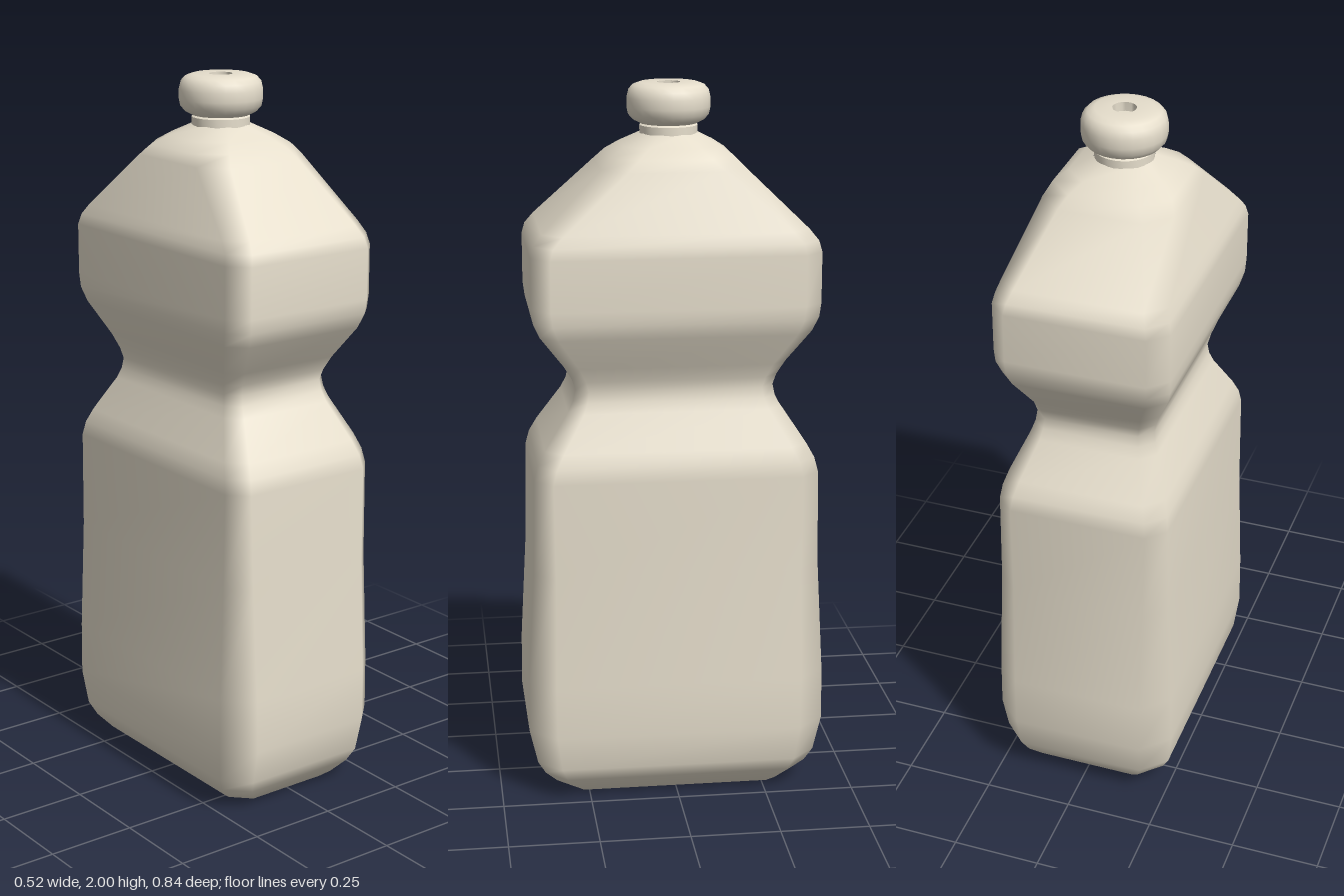
import * as THREE from 'three';
import { toCreasedNormals } from 'three/addons/utils/BufferGeometryUtils.js';

const material = new THREE.MeshStandardMaterial({ color: 0xe6decc });

// Body sections from bottom to top: height, half width, half depth, corner chamfer
const sections = [
  [0.0, 0.17, 0.315, 0.05], [0.02, 0.195, 0.34, 0.055], [0.06, 0.23, 0.375, 0.06], [0.1, 0.25, 0.397, 0.066],
  [0.2, 0.262, 0.42, 0.075], [0.35, 0.26, 0.418, 0.072], [0.67, 0.248, 0.4, 0.058],
  [0.94, 0.244, 0.395, 0.05], [0.98, 0.238, 0.385, 0.05], [1.02, 0.225, 0.363, 0.048],
  [1.12, 0.182, 0.295, 0.04], [1.15, 0.172, 0.28, 0.036], [1.18, 0.168, 0.274, 0.035],
  [1.21, 0.175, 0.283, 0.036], [1.25, 0.19, 0.306, 0.04],
  [1.34, 0.232, 0.372, 0.048], [1.38, 0.243, 0.39, 0.05], [1.42, 0.245, 0.395, 0.05],
  [1.56, 0.245, 0.395, 0.05], [1.59, 0.238, 0.387, 0.05], [1.62, 0.229, 0.363, 0.052],
  [1.78, 0.18, 0.197, 0.065], [1.81, 0.164, 0.167, 0.068], [1.835, 0.13, 0.13, 0.06], [1.865, 0.075, 0.075, 0.044],
];

// Rectangle with chamfered corners, running from +x towards +z
function ring([y, w, d, c]) {
  return [
    [w, d - c], [w - c, d], [c - w, d], [-w, d - c],
    [-w, c - d], [c - w, -d], [w - c, -d], [w, c - d],
  ].map(([x, z]) => [x, y, z]);
}

function bodyGeometry() {
  const positions = sections.flatMap((s) => ring(s).flat());
  const index = [];
  for (let i = 0; i < sections.length - 1; i++) {
    for (let j = 0; j < 8; j++) {
      const a = i * 8 + j;
      const b = i * 8 + ((j + 1) % 8);
      index.push(a, a + 8, b, b, a + 8, b + 8);
    }
  }
  const geometry = new THREE.BufferGeometry();
  geometry.setAttribute('position', new THREE.Float32BufferAttribute(positions, 3));
  geometry.setIndex(index);
  geometry.computeVertexNormals();
  return geometry;
}

// Flat base with the outline of the lowest section
function baseGeometry() {
  const outline = ring(sections[0]).map(([x, , z]) => new THREE.Vector2(x, z));
  return new THREE.ShapeGeometry(new THREE.Shape(outline)).rotateX(Math.PI / 2);
}

function turned(profile) {
  const points = profile.map(([r, y]) => new THREE.Vector2(r, y));
  return toCreasedNormals(new THREE.LatheGeometry(points, 24), 0.9);
}

export function createModel() {
  const model = new THREE.Group();
  const add = (name, geometry) => {
    const mesh = new THREE.Mesh(geometry, material);
    mesh.name = name;
    model.add(mesh);
  };

  add('body', bodyGeometry());
  add('base', baseGeometry());
  add('neck', turned([[0.08, 1.85], [0.08, 1.885], [0.07, 1.89], [0.07, 1.9]]));

  // Rounded cap with a small recess in its top
  add('cap', turned([
    [0.04, 1.89], [0.078, 1.89], [0.098, 1.9], [0.111, 1.915], [0.115, 1.935], [0.115, 1.96],
    [0.11, 1.98], [0.098, 1.993], [0.078, 2], [0.032, 2], [0.032, 1.975], [0, 1.975],
  ]));
  return model;
}
